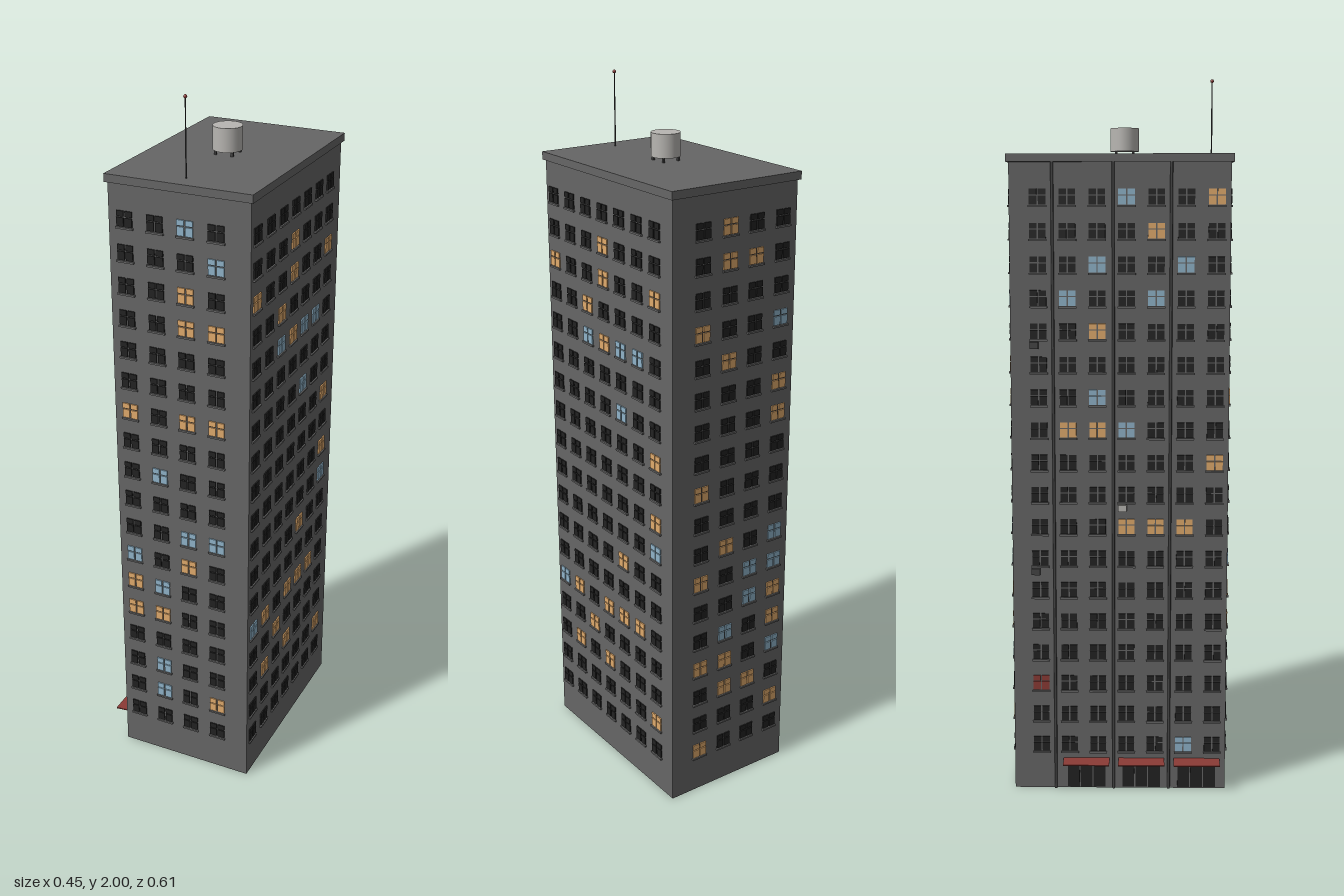
import * as THREE from 'three';
import { mergeGeometries } from 'three/addons/utils/BufferGeometryUtils.js';

const mat = (name, color) => {
  const m = new THREE.MeshStandardMaterial({ color });
  m.name = name;
  return m;
};

export function createModel() {
  const mats = {
    wall: mat('concrete grey', 0x666666),
    dark: mat('dark glass', 0x222222),
    warm: mat('warm light', 0xe0aa6c),
    cool: mat('cool light', 0x8fb3c9),
    red: mat('awning red', 0x8a3a35),
    tank: mat('tank grey', 0xb8b6b2),
    metal: mat('dark metal', 0x444444),
  };
  const model = new THREE.Group();
  const add = (name, geo, m, x = 0, y = 0, z = 0, parent = model) => {
    const mesh = new THREE.Mesh(geo, m);
    mesh.name = name;
    mesh.position.set(x, y, z);
    parent.add(mesh);
    return mesh;
  };
  const box = (w, h, d, x, y, z) => new THREE.BoxGeometry(w, h, d).translate(x, y, z);
  const CX = 0.019, CZ = -0.002;

  // Tower and roof slab
  add('tower', new THREE.BoxGeometry(0.4, 1.78, 0.6), mats.wall, CX, 0.89, CZ);
  add('roofSlab', new THREE.BoxGeometry(0.414, 0.022, 0.614), mats.wall, CX, 1.779, CZ);

  // Window grids: lit windows are listed per row as column + w (warm), c (cool) or r (red)
  const shortCols = [-0.135, -0.048, 0.037, 0.124];
  const longCols = [-0.225, -0.145, -0.064, 0.016, 0.097, 0.178, 0.26];
  const kinds = { w: 'warm', c: 'cool', r: 'red' };
  const ROWS = 18, TOP = 1.676, STEP = 0.0908;

  // Each facade is made facing +z, then turned and pushed onto its wall
  function facade(name, cols, lit, angle, px, pz) {
    const group = new THREE.Group();
    group.name = name;
    const parts = { dark: [], warm: [], cool: [], red: [], wall: [] };
    for (let r = 0; r < ROWS; r++) {
      const y = TOP - r * STEP;
      cols.forEach((u, c) => {
        const hit = (lit[r] || '').split(' ').find((s) => s[0] === String(c + 1));
        const kind = hit ? kinds[hit[1]] : 'dark';
        // Four panes, with the cross bar above the middle
        for (const s of [-1, 1]) {
          parts[kind].push(box(0.0205, 0.024, 0.005, u + s * 0.0122, y - 0.009, 0.001));
          parts[kind].push(box(0.0205, 0.015, 0.005, u + s * 0.0122, y + 0.0135, 0.001));
        }
        parts.wall.push(box(0.05, 0.005, 0.012, u, y - 0.025, 0));
      });
    }
    for (const [k, list] of Object.entries(parts)) {
      if (list.length) add(k === 'wall' ? 'windowSills' : k + 'Windows', mergeGeometries(list), mats[k], 0, 0, 0, group);
    }
    group.rotation.y = angle;
    group.position.set(px, 0, pz);
    model.add(group);
  }
  const flip = (a) => a.map((v) => -v);

  facade('frontWindows', shortCols,
    ['3c', '4c', '3w', '3w 4w', '', '', '1w 3w 4w', '', '2c', '', '3c 4c', '1c 3w',
      '1w 2c', '1w 2w', '', '2c', '2c 4w', ''],
    0, 0, CZ + 0.3);
  facade('backWindows', flip(shortCols).reverse(),
    ['2w', '2w 3w', '', '1w 4c', '2w', '4w', '4w', '', '1w', '', '2w 4c', '1w 3c 4c',
      '3c 4w', '2c 4w', '1w 2w 4c', '2w 3w', '4w', '1w'].map((s) => s),
    Math.PI, 0, CZ - 0.3);
  // Columns run from +z to -z on this side
  facade('leftWindows', flip(longCols).reverse(),
    ['', '4w', '1w 4w 7w', '3w', '3c 4w 5c 6c', '', '5c', '7w', '', '7w', '7c', '5w',
      '', '1c 2w 4w 5w 6w', '3w', '2w 4w', '7w', ''],
    Math.PI / 2, CX + 0.2, 0);
  // Columns run from -z to +z on the entrance side
  facade('rightWindows', longCols,
    ['4c 7w', '5w', '3c 6c', '2c 5c', '3w', '', '3c', '2w 3w 4c', '7w', '', '4w 5w 6w', '',
      '', '', '', '1r', '', '6c'],
    -Math.PI / 2, CX - 0.2, 0);

  // Drainpipes between the shops and up the entrance side
  for (const z of [-0.185, -0.02, 0.137]) {
    add('drainpipe', new THREE.CylinderGeometry(0.004, 0.004, 1.768, 8), mats.metal, CX - 0.203, 0.884, z);
  }

  // Shop fronts with awnings
  for (const z of [-0.0975, 0.059, 0.2165]) {
    const shop = new THREE.Group();
    shop.name = 'shopFront';
    for (let i = -1; i <= 1; i++) {
      add('shopPane', new THREE.BoxGeometry(0.005, 0.068, 0.034), mats.dark, CX - 0.201, 0.038, i * 0.037, shop);
    }
    const awning = add('awning', new THREE.BoxGeometry(0.046, 0.003, 0.131), mats.red, -0.204, 0.086, 0, shop);
    awning.rotation.z = 0.1;
    shop.position.z = z;
    model.add(shop);
  }

  // Air conditioners on the entrance side
  for (const [z, row, m] of [[0.005, 9, 'tank'], [-0.237, 4, 'metal'], [-0.237, 11, 'metal']]) {
    add('airConditioner', new THREE.BoxGeometry(0.014, 0.018, 0.024), mats[m], CX - 0.206, TOP - row * STEP - 0.038, z);
  }

  // Water tank on short legs
  add('waterTank', new THREE.CylinderGeometry(0.04, 0.04, 0.064, 32), mats.tank, CX, 1.834, 0.008);
  for (const sx of [-1, 1]) for (const sz of [-1, 1]) {
    add('tankLeg', new THREE.BoxGeometry(0.006, 0.016, 0.006), mats.metal, CX + sx * 0.024, 1.796, 0.008 + sz * 0.024);
  }

  // Antenna with a warning light
  add('antenna', new THREE.CylinderGeometry(0.0015, 0.002, 0.206, 8), mats.metal, CX, 1.892, 0.252);
  add('antennaLight', new THREE.SphereGeometry(0.005, 12, 8), mats.red, CX, 1.995, 0.252);
  return model;
}
